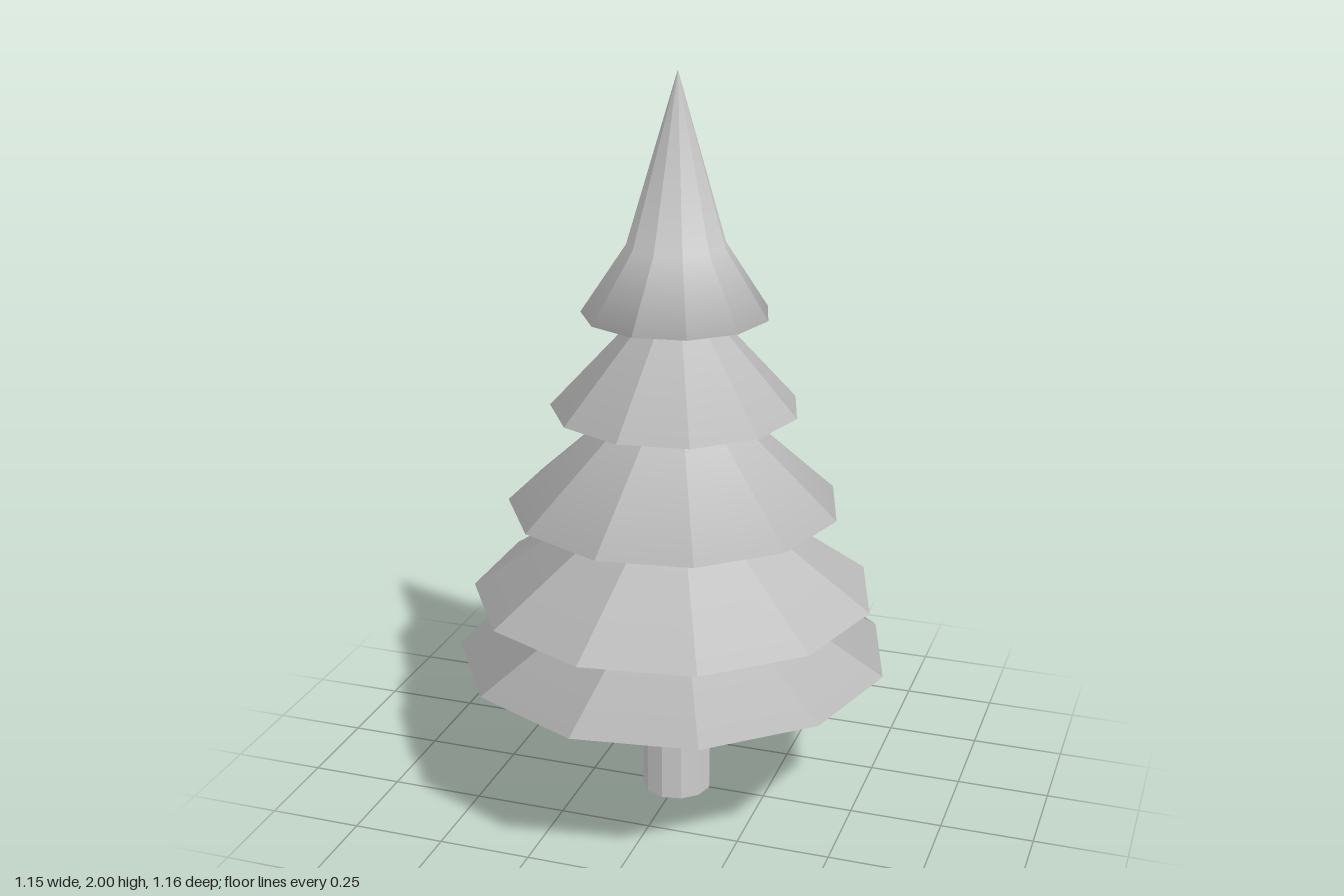
import * as THREE from 'three';

const SIDES = 11;
const material = new THREE.MeshStandardMaterial({ color: 0xcccccc, side: THREE.DoubleSide });

// Turned body with a corner on +x, shaded softly along its outline but sharp between its sides
function turnedParts(profile, parts) {
  const points = profile.map(([r, y]) => new THREE.Vector2(r, y));
  const body = new THREE.LatheGeometry(points, SIDES, Math.PI / 2);
  const index = Array.from(body.index.array);
  const shift = (1 - Math.cos(Math.PI / SIDES)) / 2;

  return parts.map(([name, from, to]) => {
    // Keep the bands of faces between two profile points
    const bands = index.filter((_, k) => {
      const band = Math.floor(k / 6) % (points.length - 1);
      return band >= from && band < to;
    });
    const geometry = body.clone().setIndex(bands).toNonIndexed();
    const pos = geometry.attributes.position;
    const normal = geometry.attributes.normal;
    const perSide = (to - from) * 6;
    for (let i = 0; i < pos.count; i++) {
      // One heading per side keeps the facets
      const angle = Math.PI / 2 + ((Math.floor(i / perSide) + 0.5) / SIDES) * Math.PI * 2;
      const out = Math.sqrt(Math.max(0, 1 - normal.getY(i) ** 2));
      normal.setXYZ(i, Math.sin(angle) * out, normal.getY(i), Math.cos(angle) * out);
      // Each ring is centred on its own width
      const r = Math.hypot(pos.getX(i), pos.getZ(i));
      pos.setX(i, pos.getX(i) - shift * r);
    }
    const mesh = new THREE.Mesh(geometry, material);
    mesh.name = name;
    return mesh;
  });
}

export function createModel() {
  const tree = new THREE.Group();
  tree.name = 'pineTree';

  // Trunk, with a doubled point for its sharp foot, then the underside of the lowest skirt
  const profile = [[0, 0], [0.0945, 0], [0.0945, 0], [0.0945, 0.22], [0.0945, 0.43], [0.3, 0.43]];
  const parts = [['trunkBase', 0, 1], ['trunk', 2, 4], ['underside', 4, 6]];

  // Skirts of branches: rim radius, rim height, neck radius, neck height
  const tiers = [
    [0.586, 0.42, 0.27, 0.6],
    [0.543, 0.6, 0.185, 0.85],
    [0.445, 0.85, 0.147, 1.12],
    [0.33, 1.12, 0.097, 1.375],
  ];
  tiers.forEach(([rim, y0, neck, y1], i) => {
    const start = profile.length;
    profile.push([rim, y0], [neck, y1]);
    // The slope, and the flat ledge above it out to the next rim
    parts.push([`branchTier${i + 1}`, start, start + 2]);
  });

  // Pointed crown with a flared hem
  const start = profile.length;
  profile.push([0.2475, 1.375], [0.13, 1.555], [0, 2]);
  parts.push(['crown', start, start + 2]);

  tree.add(...turnedParts(profile, parts));
  return tree;
}
